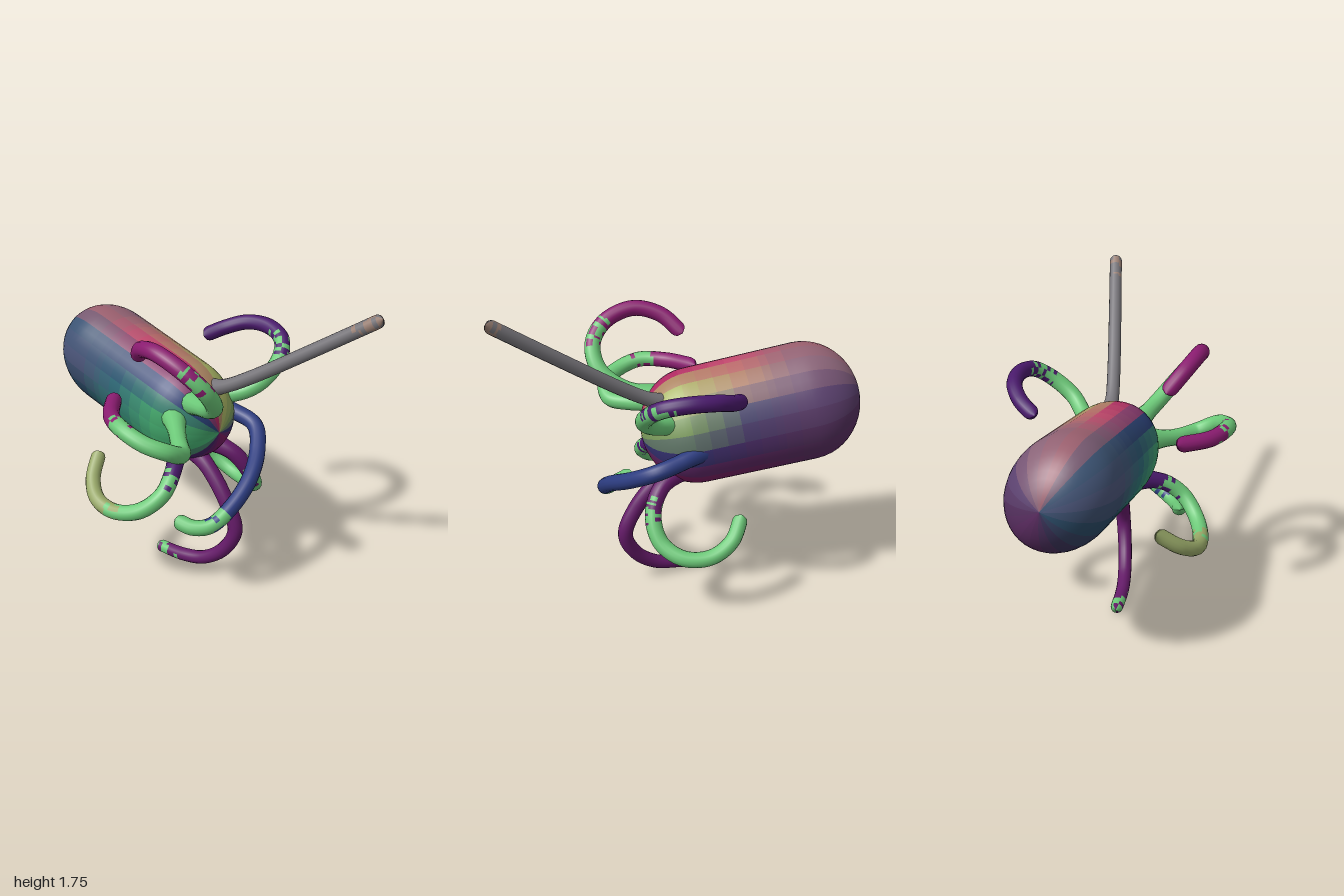
import * as THREE from 'three';

const V = (p) => new THREE.Vector3(...p);

// Repeatable value in 0..1 for the mottled colour change
const hash = (i, j) => {
  const s = Math.sin(i * 12.9898 + j * 78.233) * 43758.5453;
  return s - Math.floor(s);
};

// Splits a grid surface into one mesh per colour; colorAt gives the colour of quad q
function paint(name, geo, colorAt) {
  const index = Array.from(geo.index.array);
  const lists = new Map();
  for (let q = 0; q < index.length / 6; q++) {
    const color = colorAt(q);
    if (!lists.has(color)) lists.set(color, []);
    lists.get(color).push(...index.slice(q * 6, q * 6 + 6));
  }
  const group = new THREE.Group();
  group.name = name;
  for (const [color, list] of lists) {
    const part = geo.clone();
    part.setIndex(list);
    const mesh = new THREE.Mesh(part, new THREE.MeshStandardMaterial({ color }));
    mesh.name = name + 'Patch' + (group.children.length + 1);
    group.add(mesh);
  }
  return group;
}

// Tapered tube with a flared root and a round tip; colours change at the given fractions
function tentacle(name, points, r, tipScale, bands) {
  const n = 96, m = 14;
  const curve = new THREE.CatmullRomCurve3(points.map(V), false, 'centripetal');
  const geo = new THREE.TubeGeometry(curve, n, r, m, false);
  const pos = geo.attributes.position;
  const cap = 1 - (r * tipScale) / curve.getLength();
  const p = new THREE.Vector3();
  for (let j = 0; j <= n; j++) {
    const u = j / n, c = curve.getPointAt(u);
    let k = THREE.MathUtils.lerp(1, tipScale, u);
    k *= 1 + 0.6 * Math.max(0, 1 - u / 0.14) ** 2;
    if (u > cap) k *= Math.sqrt(Math.max(0, 1 - ((u - cap) / (1 - cap)) ** 2));
    for (let i = 0; i <= m; i++) {
      const v = j * (m + 1) + i;
      p.fromBufferAttribute(pos, v).sub(c).multiplyScalar(k).add(c);
      pos.setXYZ(v, p.x, p.y, p.z);
    }
  }
  return paint(name, geo, (q) => {
    const j = Math.floor(q / m), i = q % m;
    const u = j / n + (hash(j >> 1, i >> 1) - 0.5) * 0.2;
    let b = 0;
    while (b < bands.length - 1 && u > bands[b + 1][0]) b++;
    return bands[b][1];
  });
}

// Capsule body with soft strips of colour along its length
function body() {
  const R = 0.308, headR = 0.3, half = 0.31, around = 40;
  const profile = [];
  for (let i = 0; i <= 12; i++) {
    const a = (i / 12 - 1) * Math.PI / 2;
    profile.push(new THREE.Vector2(R * Math.cos(a), -half + R * Math.sin(a)));
  }
  for (let i = 1; i < 14; i++) {
    profile.push(new THREE.Vector2(THREE.MathUtils.lerp(R, headR, i / 14), (i / 7 - 1) * half));
  }
  for (let i = 0; i <= 12; i++) {
    const a = i / 12 * Math.PI / 2;
    profile.push(new THREE.Vector2(headR * Math.cos(a), half + headR * Math.sin(a)));
  }
  // Colours of rear, middle and head, from the top round by the front
  const strips = [
    [0x9a5f6e, 0xc0486c, 0xb02a62],
    [0x3c5474, 0x2c4470, 0x2a3f78],
    [0x4a5478, 0x2f6a78, 0x44a86c],
    [0x2a4a66, 0x2f7f74, 0x48b876],
    [0x3a3258, 0x43245e, 0x442064],
    [0x552a5c, 0x5c1c5c, 0x701a62],
    [0x5c2c62, 0x6c2260, 0x7c1c60],
    [0x54305e, 0x4a2c66, 0x343070],
    [0x5c4270, 0x4c4872, 0x7c9c5c],
    [0x8a6478, 0xb08068, 0xa8b464],
  ].map((row) => row.map((c) => new THREE.Color(c)));
  const mix = (row, t) => {
    const k = Math.min(1, Math.floor(t));
    return row[k].clone().lerp(row[k + 1], t - k);
  };
  const rows = profile.length - 1;
  const geo = new THREE.LatheGeometry(profile, around, -Math.PI / 2, Math.PI * 2);
  // Oval cross-section that leans to the front at the top
  const lean = 0.57;
  geo.rotateY(-lean).scale(1.07, 1, 0.895).rotateY(lean);
  const group = paint('body', geo, (q) => {
    const s = Math.floor(q / rows / 2) / 2;
    const y = profile[q % rows].y;
    const t = Math.round(THREE.MathUtils.clamp((y + 0.3) / 0.33, 0, 2) * 4) / 4;
    const a = Math.floor(s) % strips.length, b = (a + 1) % strips.length;
    return mix(strips[a], t).lerp(mix(strips[b], t), s % 1).getHex();
  });
  group.rotation.z = -(Math.PI / 2 + 0.17);
  group.position.set(-0.387, 1.025, -0.037);
  return group;
}

export function createModel() {
  const model = new THREE.Group();
  model.name = 'tentacledCapsule';
  model.add(body());

  const green = 0x6cc878, magenta = 0x8a1c70, purple = 0x4a1a6c, plum = 0x641a68;
  const olive = 0x98a868, blue = 0x2c3c80, gray = 0x77757a, tan = 0x9a8074;

  // Straight feeler
  model.add(tentacle('straightFeeler',
    [[0.08, 1.13, -0.08], [0.2, 1.18, -0.1], [0.34, 1.265, -0.14], [0.66, 1.49, -0.245], [1, 1.735, -0.36]],
    0.038, 0.95, [[0, gray], [0.93, tan]]));

  // Curled tentacles around the head
  model.add(tentacle('upperFrontTentacle',
    [[0.1, 1.105, 0.08], [0.3, 1.15, 0.13], [0.42, 1.24, 0.2], [0.44, 1.36, 0.29], [0.36, 1.46, 0.36],
      [0.2, 1.515, 0.39], [0.05, 1.48, 0.36], [-0.065, 1.385, 0.29]],
    0.047, 0.92, [[0, green], [0.5, magenta]]));
  model.add(tentacle('middleFrontTentacle',
    [[0.07, 1.03, 0.16], [0.24, 0.99, 0.28], [0.35, 0.99, 0.36], [0.36, 1.05, 0.47], [0.28, 1.09, 0.545],
      [0.15, 1.13, 0.575], [0, 1.135, 0.53], [-0.155, 1.145, 0.385]],
    0.047, 0.92, [[0, green], [0.72, magenta]]));
  model.add(tentacle('lowerFrontTentacle',
    [[0.03, 0.8, 0.1], [0.14, 0.74, 0.24], [0.17, 0.66, 0.34], [0.1, 0.57, 0.44], [-0.04, 0.53, 0.505],
      [-0.17, 0.55, 0.515], [-0.28, 0.61, 0.46], [-0.36, 0.715, 0.345]],
    0.047, 0.88, [[0, purple], [0.2, green], [0.6, olive]]));
  model.add(tentacle('bottomTentacle',
    [[-0.02, 0.755, -0.035], [0.12, 0.655, -0.05], [0.25, 0.5, -0.06], [0.32, 0.33, -0.07], [0.26, 0.185, -0.04],
      [0.14, 0.088, 0], [0, 0.053, 0.035], [-0.195, 0.037, 0.06]],
    0.048, 0.75, [[0, plum], [0.94, green]]));
  model.add(tentacle('crossingTentacle',
    [[-0.13, 0.93, -0.245], [0.04, 0.89, -0.32], [0.18, 0.85, -0.345], [0.3, 0.77, -0.25], [0.39, 0.68, -0.1],
      [0.415, 0.58, 0.06], [0.39, 0.505, 0.19], [0.33, 0.495, 0.26], [0.23, 0.52, 0.305]],
    0.047, 0.92, [[0, blue], [0.78, green]]));
  model.add(tentacle('lowerBackTentacle',
    [[0.005, 0.765, -0.145], [0.14, 0.69, -0.23], [0.19, 0.57, -0.3], [0.16, 0.445, -0.38], [0.05, 0.378, -0.45],
      [-0.1, 0.378, -0.465], [-0.22, 0.445, -0.43], [-0.29, 0.565, -0.355]],
    0.047, 0.88, [[0, plum], [0.3, green]]));
  model.add(tentacle('upperBackTentacle',
    [[0.04, 1.045, -0.165], [0.17, 1.085, -0.265], [0.235, 1.15, -0.35], [0.235, 1.24, -0.47], [0.17, 1.31, -0.55],
      [0.04, 1.34, -0.58], [-0.1, 1.33, -0.555], [-0.2, 1.29, -0.48], [-0.27, 1.245, -0.365]],
    0.047, 0.9, [[0, green], [0.48, purple]]));

  return model;
}
